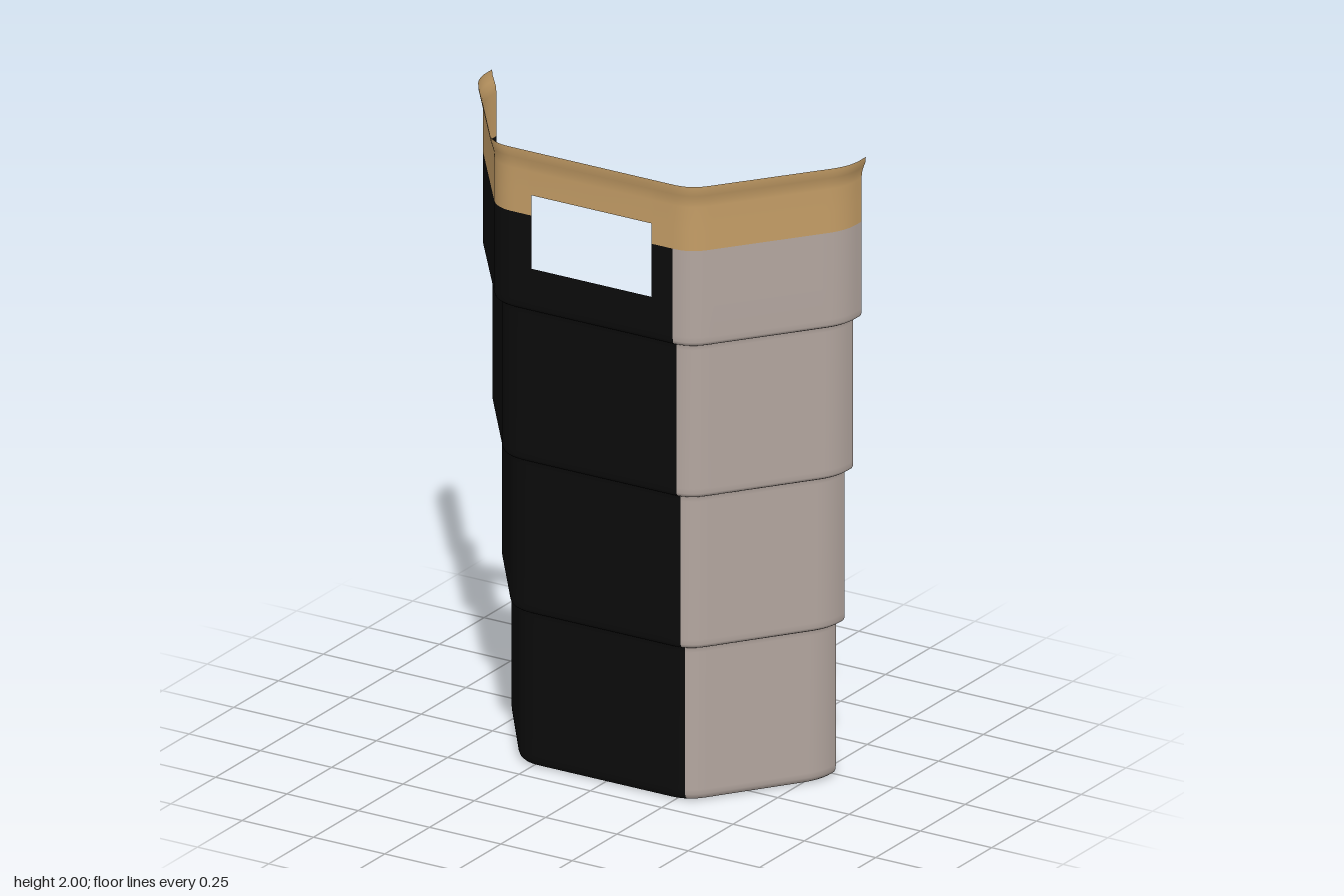
import * as THREE from 'three';

const BACK = -0.245;
const HOLE = { x0: -0.215, x1: 0.205, y0: 1.62, y1: 1.855 };
const SPLIT = 0.28; // x where the black panel meets the grey one
const BAND = 1.79; // lower edge of the gold rim band

// Rounded half-hexagon outline, grown outward by o, running from left-hand x to right-hand x
function outline(o) {
  const w = 0.55 + o, zf = 0.175 + 0.68 * o, zc = -0.18 + 0.2 * o, xc = 0.295 + 0.5 * o;
  const v = (x, z) => new THREE.Vector2(x, z);
  const corners = [v(-w, zc), v(-xc, zf), v(xc, zf), v(w, zc)];
  const ends = [v(-w, BACK), ...corners, v(w, BACK)];
  const pts = [ends[0]];
  corners.forEach((c, i) => {
    const toward = (p) => c.clone().add(p.clone().sub(c).setLength(0.055));
    pts.push(...new THREE.QuadraticBezierCurve(toward(ends[i]), c, toward(ends[i + 2])).getPoints(8));
  });
  pts.push(ends[5]);
  return pts;
}

// Cut the outline at fixed x positions and resample each section evenly
const COUNTS = [48, 2, 4, 44];
function resample(pts) {
  const cuts = [HOLE.x0, HOLE.x1, SPLIT];
  const sections = [[pts[0]]];
  for (let i = 1; i < pts.length; i++) {
    const a = pts[i - 1], b = pts[i];
    while (cuts.length && b.x > cuts[0]) {
      const p = a.clone().lerp(b, (cuts.shift() - a.x) / (b.x - a.x));
      sections[sections.length - 1].push(p);
      sections.push([p]);
    }
    sections[sections.length - 1].push(b);
  }
  const out = [pts[0]];
  sections.forEach((s, k) => {
    const path = new THREE.CurvePath();
    for (let i = 1; i < s.length; i++) path.add(new THREE.LineCurve(s[i - 1], s[i]));
    for (let j = 1; j <= COUNTS[k]; j++) out.push(path.getPointAt(j / COUNTS[k]));
  });
  return out;
}

export function createModel() {
  const mat = (name, color) => {
    const m = new THREE.MeshStandardMaterial({ color, side: THREE.DoubleSide });
    m.name = name;
    return m;
  };
  const black = mat('black', 0x0b0b0b);
  const grey = mat('warm grey', 0xb3a69f);
  const gold = mat('gold', 0xc49d66);

  // Vertical profile [height, outward offset]: rounded base, stepped tiers, flared rim
  const profile = [[0, -0.025], [0.003, -0.014], [0.009, -0.006], [0.02, -0.001], [0.035, 0]];
  [0.495, 0.988, 1.482].forEach((y, i) => {
    const o = 0.03 * i;
    profile.push([y - 0.02, o], [y - 0.002, o + 0.001], [y, o + 0.006], [y + 0.001, o + 0.018],
      [y + 0.006, o + 0.026], [y + 0.014, o + 0.0295], [y + 0.03, o + 0.03]);
  });
  profile.push([HOLE.y0, 0.09], [BAND, 0.09], [HOLE.y1, 0.09], [1.93, 0.09], [1.95, 0.092],
    [1.968, 0.098], [1.985, 0.104], [2, 0.105]);

  // One shared grid of points so shading stays smooth across the colour borders
  const rows = profile.map(([, o]) => resample(outline(o)));
  const n = rows[0].length;
  const positions = [];
  rows.forEach((row, r) => row.forEach((p) => positions.push(p.x, profile[r][0], p.y)));
  const holeStart = COUNTS[0], holeEnd = holeStart + COUNTS[1], split = holeEnd + COUNTS[2];
  const faces = { black: [], grey: [], gold: [] };
  for (let r = 0; r < rows.length - 1; r++) {
    const y = profile[r][0];
    for (let c = 0; c < n - 1; c++) {
      // hand hole
      if (c >= holeStart && c < holeEnd && y >= HOLE.y0 && y < HOLE.y1) continue;
      const key = y >= BAND ? 'gold' : c < split ? 'black' : 'grey';
      const a = r * n + c, b = a + 1, d = a + n, e = d + 1;
      faces[key].push(a, b, e, a, e, d);
    }
  }
  const base = new THREE.BufferGeometry();
  base.setAttribute('position', new THREE.Float32BufferAttribute(positions, 3));
  base.setIndex([...faces.black, ...faces.grey, ...faces.gold]);
  base.computeVertexNormals();

  const group = new THREE.Group();
  group.name = 'steppedHalfBin';
  const add = (name, geometry, material) => {
    const mesh = new THREE.Mesh(geometry, material);
    mesh.name = name;
    group.add(mesh);
  };
  const patch = (name, index, material) => {
    const g = new THREE.BufferGeometry();
    g.setAttribute('position', base.attributes.position);
    g.setAttribute('normal', base.attributes.normal);
    g.setIndex(index);
    add(name, g, material);
  };
  patch('blackPanel', faces.black, black);
  patch('greyPanel', faces.grey, grey);
  patch('rimBand', faces.gold, gold);

  // Flat floor closing the base
  add('floor', new THREE.ShapeGeometry(new THREE.Shape(rows[0])).rotateX(Math.PI / 2), grey);
  return group;
}
